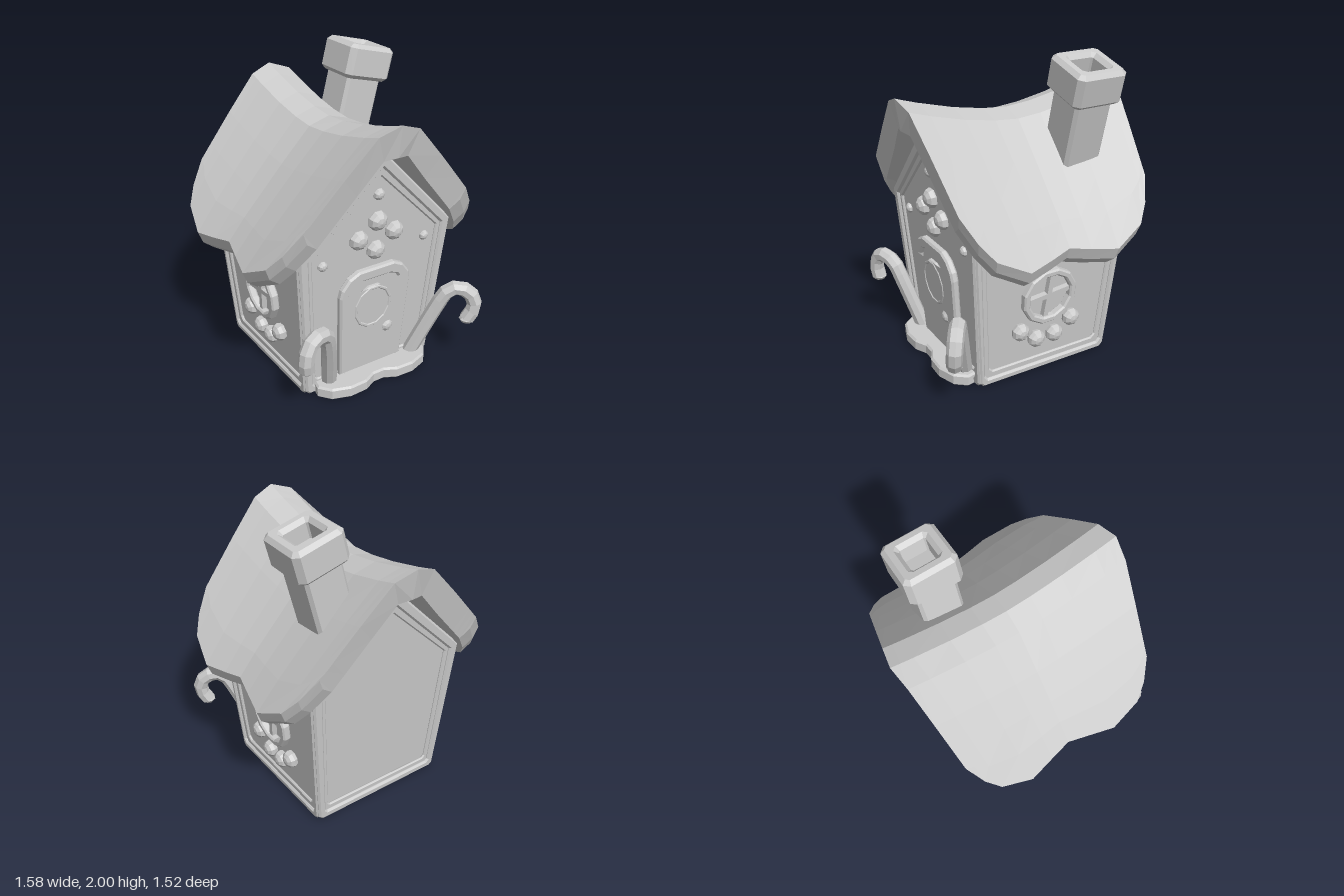
import * as THREE from 'three';

const mat = new THREE.MeshStandardMaterial({ color: 0xcccccc, flatShading: true });

function add(parent, name, geo, x = 0, y = 0, z = 0) {
  const m = new THREE.Mesh(geo, mat);
  m.name = name;
  m.position.set(x, y, z);
  parent.add(m);
  return m;
}

// mirror a right-hand half outline into a closed one
const sym = half => [...half, ...half.filter(p => p[0] > 0).reverse().map(([x, y]) => [-x, y])];
const vecs = pts => pts.map(p => new THREE.Vector2(...p));
const ngon = (n, rx, ry) => Array.from({ length: n }, (_, i) => {
  const a = (i + 0.5) / n * Math.PI * 2;
  return [rx * Math.cos(a), ry * Math.sin(a)];
});

// bevelled plate, optionally with a hole, from z = 0 to z = height
function plate(outer, hole, height, bevel = 0.012) {
  const shape = new THREE.Shape(vecs(outer));
  if (hole) shape.holes.push(new THREE.Path(vecs(hole)));
  return new THREE.ExtrudeGeometry(shape, {
    depth: height - 2 * bevel, bevelSize: bevel, bevelThickness: bevel,
    bevelOffset: -bevel, bevelSegments: 1,
  }).translate(0, 0, bevel);
}

function gumdrop(parent, x, y, r, d = 0) {
  const g = new THREE.SphereGeometry(r, 8, 6).rotateX(Math.PI / 2).rotateZ(Math.PI / 8);
  add(parent, 'gumdrop', g.scale(1, 1, 0.8), x, y, d + r * 0.15);
}

function roundWindow(parent, x, y, rx, ry, rim, height, d = 0) {
  const w = new THREE.Group();
  w.name = 'roundWindow';
  w.position.set(x, y, d);
  add(w, 'windowRim', plate(ngon(12, rx, ry), ngon(12, rx - rim, ry - rim), height, 0.01));
  for (const a of [0.1, Math.PI / 2 - 0.12]) {
    add(w, 'windowBar', new THREE.BoxGeometry(2 * (rx - rim) + 0.02, rx * 0.17, height * 1.3)).rotation.z = a;
  }
  parent.add(w);
}

// group whose local xy plane is a wall panel leaning slightly outward
function wall(parent, name, x, z, turn, lean) {
  const g = new THREE.Group();
  g.name = name;
  g.position.set(x, 0, z);
  g.rotation.set(lean, turn, 0, 'YXZ');
  parent.add(g);
  return g;
}

function frame(parent, outer, middle, inner) {
  add(parent, 'wallFrame', plate(sym(outer), sym(middle), 0.036));
  const lip = sym(middle).map(([x, y]) => [x * 1.03, y + (y < 0.5 ? -0.015 : 0.015)]);
  add(parent, 'wallFrameLip', plate(lip, sym(inner), 0.02, 0.008));
}

// saddle-shaped slab roof with scalloped eaves
function roofGeometry() {
  const prof = [[0, 1.79], [0.14, 1.74], [0.36, 1.5], [0.62, 1.2], [0.72, 1.07], [0.79, 0.98]];
  const top = x => {
    let i = 0;
    while (i < 4 && x > prof[i + 1][0]) i++;
    const [a, b] = [prof[i], prof[i + 1]];
    return a[1] + (b[1] - a[1]) * (x - a[0]) / (b[0] - a[0]);
  };
  const half = [[0.22, 0.75], [0.5, 0.79], [0.81, 0.745], [0.92, 0.68], [1, 0.58]];
  const stations = [...half.map(([t, X]) => [-t, X]).reverse(), [0, 0.72], ...half];
  const pos = [], idx = [], N = 24;
  for (const [t, X] of stations) {
    const cols = [0, 0.14, 0.34, 0.5, 0.5 + (X - 0.5) * 0.5, X];
    const upper = [], lower = [];
    for (let j = -5; j <= 5; j++) {
      const x = cols[Math.abs(j)], s = Math.sign(j), k = Math.min(1, x / 0.25);
      const y = top(x) - 0.16 * (1 - Math.abs(t) ** 1.6) * (1 - 0.42 * x);
      const z = t * (0.745 - 0.165 * x);
      upper.push([s * x, y, z - 0.025]);
      lower.push([s * (x - 0.1 * k), y - 0.2 + 0.07 * k, z * 0.96 - 0.025]);
    }
    const rim = (a, b, s) => [(a[0] + b[0]) / 2 + s * 0.02, (a[1] + b[1]) / 2 - 0.012, (a[2] + b[2]) / 2];
    const loop = [...upper, rim(upper[10], lower[10], 1), ...lower.slice().reverse(), rim(upper[0], lower[0], -1)];
    pos.push(...loop.flat());
  }
  const K = stations.length;
  for (let k = 0; k < K - 1; k++) for (let i = 0; i < N; i++) {
    const a = k * N + i, b = k * N + (i + 1) % N, c = b + N, d = a + N;
    idx.push(a, d, c, a, c, b);
  }
  // gable ends
  const cap = [12, 11, 10, 0, 23, 22];
  for (let j = 0; j < 10; j++) cap.push(22 - j, 21 - j, j + 1, 22 - j, j + 1, j);
  idx.push(...cap.map(i => i + (K - 1) * N), ...cap.slice().reverse());
  const g = new THREE.BufferGeometry();
  g.setAttribute('position', new THREE.Float32BufferAttribute(pos, 3));
  g.setIndex(idx);
  g.computeVertexNormals();
  return g;
}

function candyCane(parent, pts) {
  const g = new THREE.Group();
  g.name = 'candyCane';
  const p = pts.map(v => new THREE.Vector3(...v));
  const curve = new THREE.CatmullRomCurve3(p, false, 'centripetal');
  add(g, 'caneTube', new THREE.TubeGeometry(curve, 14, 0.05, 8));
  const tip = p[p.length - 1];
  add(g, 'caneTip', new THREE.SphereGeometry(0.05, 8, 4).scale(1, 0.6, 1), tip.x, tip.y, tip.z);
  parent.add(g);
}

export function createModel() {
  const house = new THREE.Group();
  house.name = 'candyCottage';

  // solid body, widening toward the eaves
  const core = new THREE.ExtrudeGeometry(
    new THREE.Shape(vecs(sym([[0.446, 0.01], [0.527, 1.02], [0, 1.57]]))), { depth: 1, bevelEnabled: false });
  const cp = core.attributes.position;
  for (let i = 0; i < cp.count; i++) {
    const lean = 0.07 * cp.getY(i);
    cp.setZ(i, cp.getZ(i) > 0.5 ? 0.42 + lean : -0.465 - lean);
  }
  core.computeVertexNormals();
  add(house, 'body', core);

  // framed walls
  const front = wall(house, 'frontWall', 0, 0.42, 0, 0.07);
  const back = wall(house, 'backWall', 0, -0.465, Math.PI, 0.07);
  for (const w of [front, back]) {
    frame(w, [[0.45, 0.01], [0.474, 0.035], [0.553, 1.02], [0, 1.59]],
      [[0.41, 0.065], [0.425, 0.08], [0.485, 1.0], [0, 1.49]],
      [[0.385, 0.1], [0.4, 0.115], [0.455, 0.985], [0, 1.43]]);
  }
  for (const s of [-1, 1]) {
    const w = wall(house, 'sideWall', s * 0.445, -0.022, s * Math.PI / 2, 0.08);
    frame(w, [[0.445, 0.01], [0.468, 0.035], [0.54, 1.06]],
      [[0.415, 0.06], [0.435, 0.085], [0.49, 1.02]],
      [[0.375, 0.1], [0.4, 0.125], [0.455, 0.99]]);
    roundWindow(w, 0, 0.555, 0.195, 0.195, 0.045, 0.055);
    for (const [z, y] of [[0.19, 0.335], [0.07, 0.25], [-0.065, 0.25], [-0.185, 0.335]]) gumdrop(w, -s * z, y, 0.06, 0.015);
  }

  // front door and gable sweets
  const doorOuter = sym([[0.235, 0.08], [0.262, 0.67], [0.25, 0.725], [0.2, 0.79], [0.13, 0.825]]);
  const doorInner = sym([[0.192, 0.08], [0.205, 0.63], [0.195, 0.675], [0.155, 0.73], [0.1, 0.75]]);
  add(front, 'doorFrame', plate(doorOuter, doorInner, 0.05));
  add(front, 'door', plate(doorInner.map(([x, y]) => [x * 1.04, y]), null, 0.022, 0.004));
  roundWindow(front, -0.015, 0.545, 0.145, 0.158, 0.032, 0.035, 0.02);
  gumdrop(front, 0.11, 0.35, 0.047, 0.025);
  for (const [x, y, r] of [[0, 1.31, 0.038], [0, 1.135, 0.066], [-0.13, 1.035, 0.064], [0.13, 1.035, 0.064],
    [0, 0.935, 0.064], [-0.375, 0.925, 0.033], [0.375, 0.925, 0.033]]) gumdrop(front, x, y, r);

  add(house, 'roof', roofGeometry());

  // leaning chimney with a hollow cap
  const chimney = new THREE.Group();
  chimney.name = 'chimney';
  chimney.position.set(0.413, 1.86, -0.32);
  chimney.rotation.z = -0.25;
  const square = (h, c) => sym([[h - c, -h], [h, -h + c], [h, h - c], [h - c, h]]);
  add(chimney, 'chimneyStack', plate(square(0.13, 0.02), null, 0.6, 0.005).rotateX(-Math.PI / 2), 0, -0.62, 0);
  add(chimney, 'chimneyCap', plate(square(0.172, 0.035), square(0.085, 0.01), 0.22, 0.025).rotateX(-Math.PI / 2), 0, -0.11, 0);
  house.add(chimney);

  // lobed doorstep
  const step = sym([[0.4, 0.4], [0.42, 0.5], [0.36, 0.575], [0.24, 0.615], [0.12, 0.61], [0.04, 0.57]]);
  add(house, 'doorstep', plate(step, null, 0.08).rotateX(Math.PI / 2), 0, 0.08, 0);

  // candy canes beside the door
  candyCane(house, [[-0.31, 0.06, 0.46], [-0.385, 0.42, 0.57], [-0.42, 0.52, 0.6], [-0.49, 0.56, 0.63],
    [-0.565, 0.53, 0.65], [-0.595, 0.45, 0.66], [-0.585, 0.37, 0.65]]);
  candyCane(house, [[0.32, 0.06, 0.47], [0.46, 0.43, 0.57], [0.5, 0.52, 0.6], [0.56, 0.555, 0.64],
    [0.63, 0.51, 0.69], [0.65, 0.42, 0.71], [0.61, 0.33, 0.69]]);
  return house;
}
